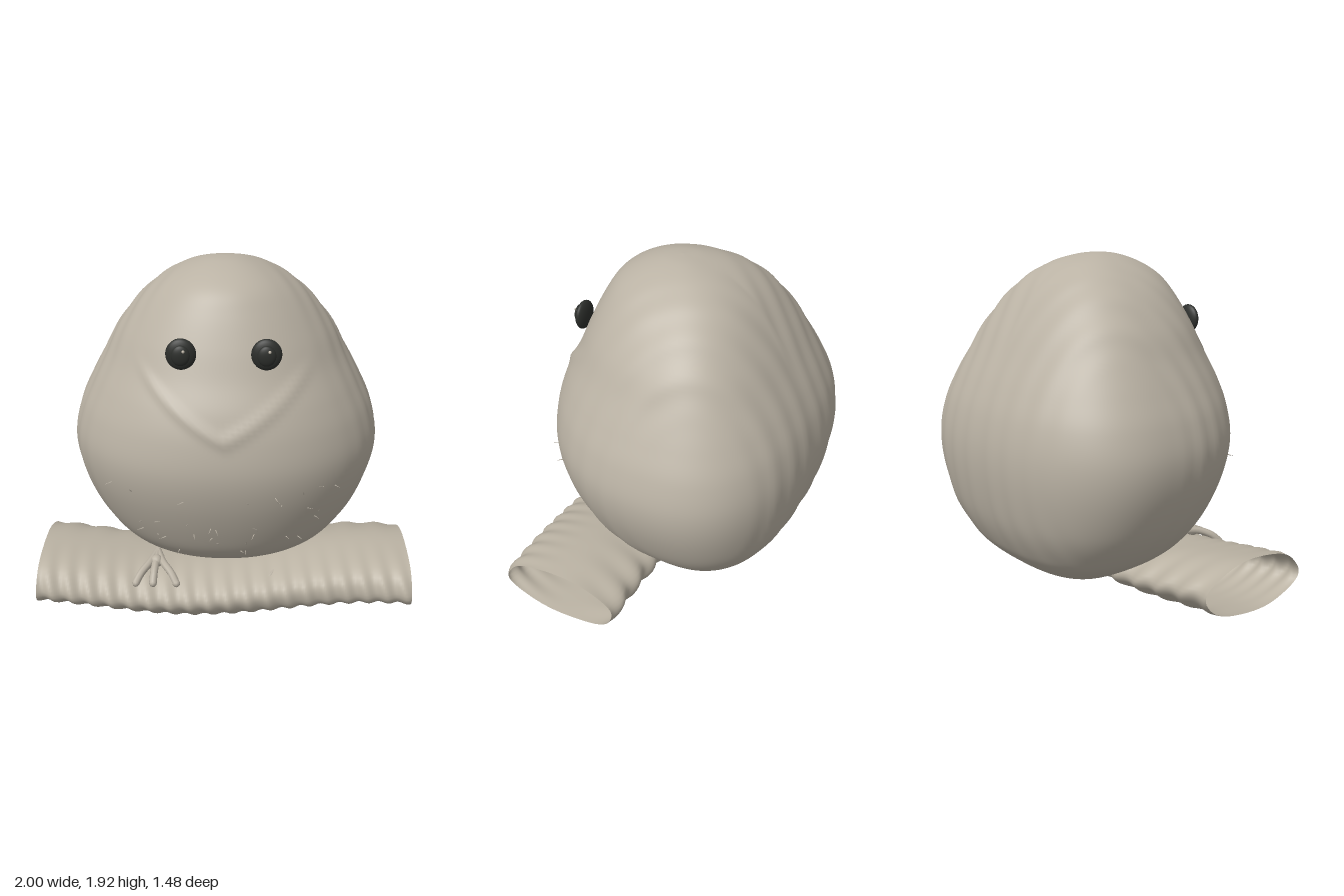
import * as THREE from 'three';
import { mergeVertices } from 'three/addons/utils/BufferGeometryUtils.js';
import { ParametricGeometry } from 'three/addons/geometries/ParametricGeometry.js';

const plumage = new THREE.MeshStandardMaterial({ color: 0xbab2a4 });
plumage.name = 'warm grey';
const bark = new THREE.MeshStandardMaterial({ color: 0xbab2a3, side: THREE.DoubleSide });
bark.name = 'bark grey';
const dark = new THREE.MeshStandardMaterial({ color: 0x2c2e2b });
dark.name = 'eye black';

const TAU = Math.PI * 2;
const { smoothstep } = THREE.MathUtils;

// Height, half width, front z and back z of the body, bottom to top
const rows = [
  [0.14, 0, -0.1, -0.1], [0.15, 0.2, 0.05, -0.25], [0.2, 0.37, 0.2, -0.41],
  [0.3, 0.55, 0.4, -0.55], [0.4, 0.655, 0.53, -0.625], [0.55, 0.755, 0.62, -0.69],
  [0.75, 0.83, 0.7, -0.73], [0.93, 0.85, 0.735, -0.737], [1.1, 0.812, 0.72, -0.71],
  [1.25, 0.742, 0.675, -0.655], [1.4, 0.66, 0.6, -0.58], [1.55, 0.575, 0.535, -0.495],
  [1.7, 0.455, 0.46, -0.39], [1.8, 0.34, 0.39, -0.29], [1.87, 0.22, 0.28, -0.175],
  [1.91, 0.1, 0.16, -0.04], [1.92, 0, 0.06, 0.06],
];
const widths = new THREE.SplineCurve(rows.map(r => new THREE.Vector2(r[0], r[1])));
const depths = new THREE.SplineCurve(rows.map(r => new THREE.Vector2(r[2], r[3])));

// Point on the body: rounded at the front, squarer at the back
function bodyPoint(u, v, target) {
  const a = u * TAU, s = Math.sin(a), c = Math.cos(a);
  const { x: y, y: w } = widths.getPoint(v);
  const { x: front, y: back } = depths.getPoint(v);
  const mid = front * 0.42 + back * 0.58;
  const n = c < 0 ? 2.55 : 2.14;
  const r = Math.pow(Math.pow(Math.abs(s), n) + Math.pow(Math.abs(c), n), -1 / n);
  let x = w * r * s;
  let z = mid + (c > 0 ? front - mid : mid - back) * r * c;
  // Soft feather folds in tall rings around each folded wing
  const ring = Math.hypot(Math.abs(x) - 0.7, (y - 0.9) * 0.6, z + 0.35);
  const mask = smoothstep(ring, 0.25, 0.45) * smoothstep(w, 0.1, 0.4)
    * smoothstep(y, 0.3, 0.6) * smoothstep(-c, -0.8, -0.2);
  const wave = 0.004 * mask * Math.sin(ring * 46);
  x += wave * s;
  z += wave * c;
  // Raised rim under the face
  if (c > 0) {
    const rim = y - 1.13 - 0.6 * x * x - 0.45 * Math.abs(x);
    z += 0.014 * (1 - smoothstep(Math.abs(x), 0.34, 0.48)) * Math.exp(-rim * rim / 0.0012);
  }
  return target.set(x, y, z);
}

// Point on the hollow, flattened branch
const branchY = x => 0.197 - 0.045 * Math.cos((x + 0.2) * Math.PI);
function branchPoint(u, v, target) {
  const a = u * TAU, x = v * 2 - 1, s = Math.sin(a);
  const ridges = 0.034 * Math.pow(Math.abs(s), 1.5) * Math.sin(x * (s > 0 ? 60 : 36) + Math.cos(a) * 2.5);
  const lump = 1 + ridges + 0.015 * Math.sin(a * 6 + x * 3);
  return target.set(x, branchY(x) + 0.15 * lump * Math.cos(a), 0.31 + 0.35 * lump * s);
}

function skin(fn, slices, stacks) {
  const g = new ParametricGeometry(fn, slices, stacks);
  g.deleteAttribute('uv');
  g.deleteAttribute('normal');
  const merged = mergeVertices(g, 1e-5);
  merged.computeVertexNormals();
  return merged;
}

function add(parent, name, geometry, material) {
  const mesh = new THREE.Mesh(geometry, material);
  mesh.name = name;
  parent.add(mesh);
  return mesh;
}

function makeEye(side) {
  const eye = new THREE.Group();
  eye.name = side > 0 ? 'leftEye' : 'rightEye';
  const ball = new THREE.SphereGeometry(1, 28, 18);
  add(eye, 'eyeDisc', ball, dark).scale.set(0.076, 0.08, 0.03);
  const pupil = add(eye, 'pupil', ball, dark);
  pupil.scale.set(0.046, 0.052, 0.02);
  pupil.position.z = 0.027;
  const glint = add(eye, 'glint', new THREE.SphereGeometry(0.008, 10, 8), plumage);
  glint.position.set(0.014, 0.025, 0.043);
  eye.position.set(0.21 * side, 1.537, 0.553);
  return eye;
}

// Toes spread low over the branch from a short ankle
function makeFoot(name, x, y, z, size) {
  const foot = new THREE.Group();
  foot.name = name;
  for (const spread of [-0.09, -0.01, 0.1]) {
    const path = new THREE.CatmullRomCurve3([
      new THREE.Vector3(0, 0.025, -0.12), new THREE.Vector3(spread * 0.4, 0.012, -0.01),
      new THREE.Vector3(spread * 0.85, -0.015, 0.05), new THREE.Vector3(spread * 1.15, -0.055, 0.09),
    ]);
    add(foot, 'toe', new THREE.TubeGeometry(path, 12, 0.021, 8), plumage);
    const tip = add(foot, 'toeTip', new THREE.SphereGeometry(0.021, 8, 6), plumage);
    tip.position.copy(path.getPoint(1));
  }
  const ankle = add(foot, 'ankle', new THREE.SphereGeometry(0.035, 12, 8), plumage);
  ankle.position.set(0, 0.012, -0.03);
  foot.position.set(x, y, z);
  foot.scale.setScalar(size);
  return foot;
}

export function createModel() {
  const model = new THREE.Group();
  add(model, 'body', skin(bodyPoint, 160, 110), plumage);
  add(model, 'branch', skin(branchPoint, 48, 200), bark);
  model.add(makeEye(1), makeEye(-1));
  model.add(makeFoot('rightFoot', -0.37, 0.31, 0.5, 1));
  model.add(makeFoot('leftFoot', 0.3, 0.285, 0.52, 0.75));

  // Loose feather tips on the lower chest
  let seed = 7;
  const rand = () => (seed = (seed * 16807) % 2147483647) / 2147483647;
  const tuft = new THREE.ConeGeometry(0.006, 0.065, 4);
  const point = new THREE.Vector3();
  const up = new THREE.Vector3(0, 1, 0);
  const tufts = new THREE.Group();
  tufts.name = 'chestTufts';
  for (let i = 0; i < 32; i++) {
    const across = (i % 8 - 3.5) / 8 + (rand() - 0.5) * 0.12;
    bodyPoint(across * 0.24, 0.26 + rand() * 0.15, point);
    const dir = new THREE.Vector3(point.x + rand() - 0.5, (rand() - 0.4) * 0.8, 0.45).normalize();
    const mesh = add(tufts, 'tuft', tuft, plumage);
    mesh.position.copy(point).addScaledVector(dir, 0.008);
    mesh.quaternion.setFromUnitVectors(up, dir);
  }
  model.add(tufts);
  return model;
}
